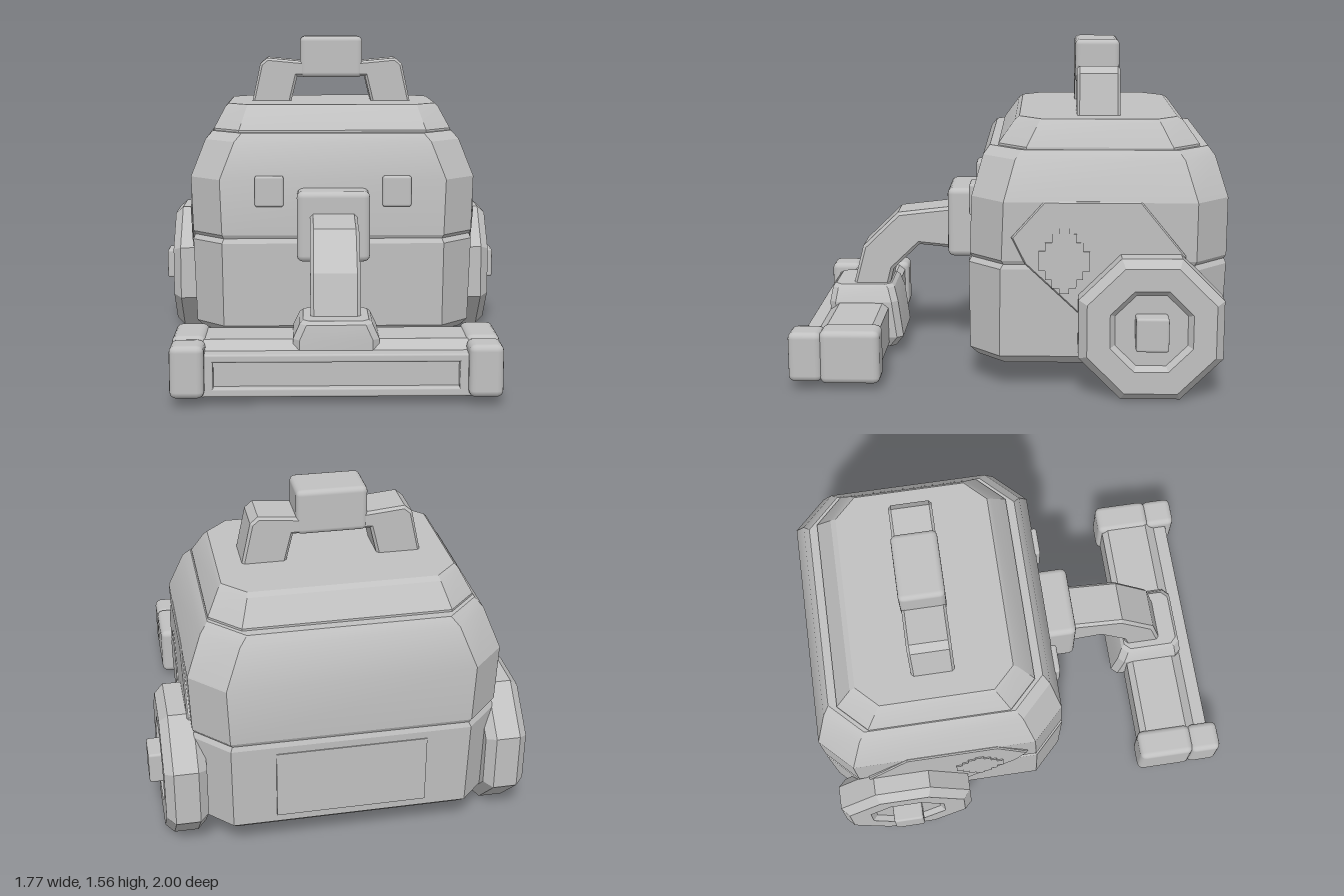
import * as THREE from 'three';
import { toCreasedNormals } from 'three/addons/utils/BufferGeometryUtils.js';
import { RoundedBoxGeometry } from 'three/addons/geometries/RoundedBoxGeometry.js';

// Stack of chamfered rectangles: each section is [y, halfWidth, zBack, zFront, chamfer]
function loft(sections) {
  const pos = [], idx = [];
  for (const [y, w, b, f, c] of sections) {
    const ring = [[c - w, f], [w - c, f], [w, f - c], [w, b + c], [w - c, b], [c - w, b], [-w, b + c], [-w, f - c]];
    for (const [x, z] of ring) pos.push(x, y, z);
  }
  const top = (sections.length - 1) * 8;
  for (let s = 0; s < top; s += 8) {
    for (let j = 0; j < 8; j++) {
      const k = (j + 1) % 8;
      idx.push(s + j, s + k, s + 8 + k, s + j, s + 8 + k, s + 8 + j);
    }
  }
  for (let j = 1; j < 7; j++) idx.push(top, top + j, top + j + 1, 0, j + 1, j);
  const g = new THREE.BufferGeometry();
  g.setAttribute('position', new THREE.Float32BufferAttribute(pos, 3));
  g.setIndex(idx);
  return toCreasedNormals(g, 0.4);
}

// Extruded outline with bevelled rims, centred on its depth
function slab(points, depth, bevel) {
  const shape = new THREE.Shape(points.map(([u, v]) => new THREE.Vector2(u, v)));
  const g = new THREE.ExtrudeGeometry(shape, {
    depth: depth - 2 * bevel, bevelEnabled: bevel > 0, bevelSize: bevel,
    bevelThickness: bevel, bevelOffset: -bevel, bevelSegments: 1,
  });
  g.translate(0, 0, bevel - depth / 2);
  return toCreasedNormals(g, 0.4);
}

// Same, for an outline given as [z, y] and extruded along x
const sideSlab = (points, depth, bevel) =>
  slab(points.map(([z, y]) => [-z, y]), depth, bevel).rotateY(Math.PI / 2);

export function createModel() {
  const model = new THREE.Group();
  model.name = 'vacuumCleaner';
  const grey = new THREE.MeshStandardMaterial({ color: 0xc0c0c0 });
  grey.name = 'plain grey';

  const add = (name, geometry, x = 0, y = 0, z = 0, parent = model) => {
    const mesh = new THREE.Mesh(geometry, grey);
    mesh.name = name;
    mesh.position.set(x, y, z);
    parent.add(mesh);
    return mesh;
  };
  // Soft-edged box given by its limits
  const block = (name, [x0, x1], [y0, y1], [z0, z1], r = 0.02, parent = model) =>
    add(name, new RoundedBoxGeometry(x1 - x0, y1 - y0, z1 - z0, 2, r),
      (x0 + x1) / 2, (y0 + y1) / 2, (z0 + z1) / 2, parent);

  // Canister
  add('lowerBody', loft([
    [0.12, 0.64, -0.94, 0.14, 0.13], [0.16, 0.675, -0.985, 0.175, 0.14],
    [0.57, 0.69, -1.0, 0.18, 0.15], [0.595, 0.68, -0.99, 0.165, 0.15],
  ]));
  add('upperBody', loft([
    [0.59, 0.68, -0.99, 0.165, 0.15], [0.61, 0.69, -1.0, 0.175, 0.15],
    [0.88, 0.7, -1.0, 0.165, 0.15], [1.06, 0.63, -0.945, 0.115, 0.15],
    [1.1, 0.595, -0.915, 0.085, 0.15],
  ]));
  add('lid', loft([
    [1.08, 0.59, -0.875, 0.045, 0.13], [1.11, 0.59, -0.875, 0.045, 0.13],
    [1.215, 0.535, -0.8, -0.03, 0.11], [1.23, 0.52, -0.775, -0.05, 0.1],
  ]));
  add('backPanel', new THREE.BoxGeometry(0.68, 0.33, 0.02), 0, 0.37, -0.993);

  // Carrying handle
  block('handleGrip', [-0.16, 0.16], [1.35, 1.56], [-0.52, -0.31], 0.025);
  for (const s of [1, -1]) {
    const leg = [[0.21, 1.21], [0.41, 1.21], [0.365, 1.42], [0.33, 1.45], [0.12, 1.43], [0.12, 1.355], [0.175, 1.355]];
    const outline = s > 0 ? leg : leg.map(([x, y]) => [-x, y]).reverse();
    add('handleLeg', slab(outline, 0.2, 0.012), 0, 0, -0.415);
  }

  // Eyes and side panels
  for (const s of [1, -1]) {
    block('eye', [s * 0.31 - 0.07, s * 0.31 + 0.07], [0.75, 0.9], [0.1, 0.187], 0.012);
    add('sidePanel', sideSlab([
      [-0.02, 0.72], [-0.166, 0.885], [-0.6, 0.885], [-0.8, 0.64], [-0.8, 0.3], [-0.4, 0.3], [-0.08, 0.6],
    ], 0.03, 0.006), s * 0.692);
    // Stepped diamond badge
    const steps = [[0.022, 0.15], [0.055, 0.125], [0.085, 0.085], [0.115, 0.045]];
    steps.forEach(([w, h]) =>
      add('badge', new THREE.BoxGeometry(0.012, h * 2, w * 2), s * 0.707, 0.615, -0.257));
  }

  // Wheels
  const rim = [[0, 0.64], [0.31, 0.64], [0.35, 0.68], [0.35, 0.79], [0.31, 0.83], [0.2, 0.83], [0.175, 0.805], [0, 0.805]];
  const wheelGeometry = toCreasedNormals(new THREE.LatheGeometry(
    rim.map(([r, h]) => new THREE.Vector2(r, h)), 8, Math.PI / 8), 0.4).rotateZ(-Math.PI / 2);
  for (const s of [1, -1]) {
    const wheel = new THREE.Group();
    wheel.name = s > 0 ? 'leftWheel' : 'rightWheel';
    wheel.position.set(0, 0.325, -0.645);
    wheel.rotation.y = s > 0 ? 0 : Math.PI;
    add('tyre', wheelGeometry, 0, 0, 0, wheel);
    block('hub', [0.75, 0.885], [-0.077, 0.077], [-0.073, 0.073], 0.012, wheel);
    model.add(wheel);
  }
  block('frontCaster', [-0.1, 0.1], [0, 0.16], [-0.105, 0.08], 0.025);

  // Hose
  block('hoseMount', [-0.175, 0.175], [0.5, 0.84], [0.12, 0.305], 0.03);
  add('hose', sideSlab([
    [0.25, 0.74], [0.25, 0.52], [0.3, 0.53], [0.45, 0.545], [0.58, 0.42], [0.61, 0.3],
    [0.79, 0.3], [0.73, 0.535], [0.555, 0.705], [0.3, 0.735],
  ].reverse(), 0.225, 0.015));

  // Floor head
  add('headNeck', loft([
    [0.035, 0.16, 0.57, 0.86, 0.03], [0.09, 0.19, 0.53, 0.89, 0.03],
    [0.27, 0.19, 0.555, 0.89, 0.03], [0.335, 0.16, 0.575, 0.88, 0.03], [0.35, 0.145, 0.59, 0.865, 0.03],
  ]));
  add('headBar', sideSlab([
    [0.6, 0.06], [0.62, 0.04], [0.92, 0.04], [0.92, 0.2], [0.84, 0.265], [0.63, 0.265], [0.6, 0.24],
  ].reverse(), 1.2, 0));
  // Front frame around the slot
  for (const [y0, y1] of [[0.035, 0.075], [0.188, 0.225]])
    block('slotRail', [-0.59, 0.59], [y0, y1], [0.86, 0.957], 0.01);
  for (const s of [1, -1]) {
    block('slotPost', [s * 0.565 - 0.03, s * 0.565 + 0.03], [0.04, 0.22], [0.86, 0.957], 0.008);
    const span = [s * 0.647 - 0.075, s * 0.647 + 0.075];
    block('endCapRear', span, [0.03, 0.28], [0.58, 0.856], 0.03);
    block('endCapFront', span, [0.038, 0.272], [0.845, 1.0], 0.03);
  }
  return model;
}
